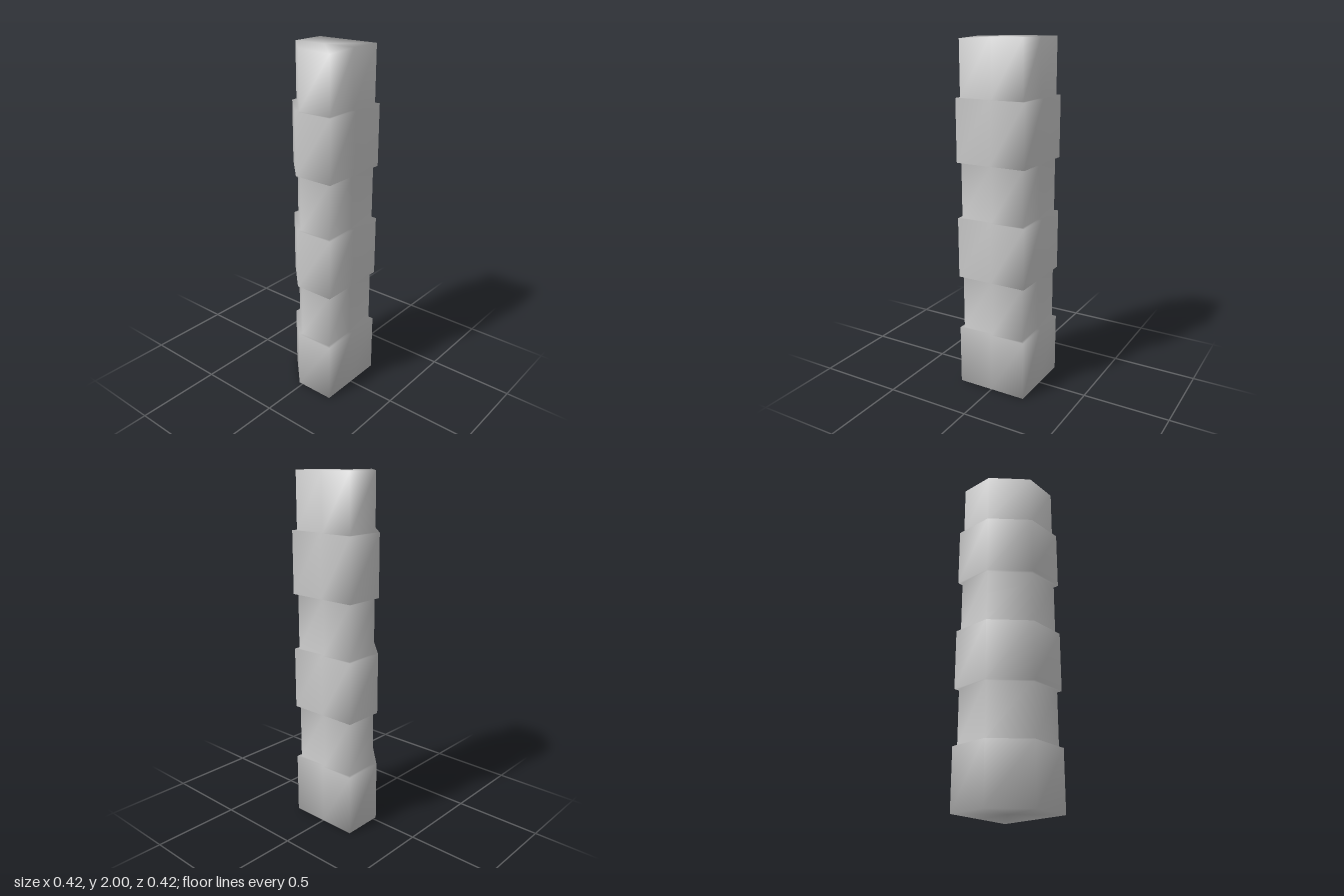
import * as THREE from 'three';

// Square outline with edge midpoints and the back corner on the -x side cut off.
// r: half width, cut: where the slanted side meets the straight ones.
function outline(r, cut) {
  return [[-r, r], [0, r], [r, r], [r, 0], [r, -r], [cut, -r], [-r, cut]];
}

export function createModel() {
  const group = new THREE.Group();
  const wide = outline(0.209, -0.024);
  const narrow = outline(0.191, -0.01);

  // Bands from the ground up, wide and narrow in turn
  const levels = [0, 0.35, 0.67, 1.02, 1.335, 1.685, 2];
  const rings = [];
  for (let i = 0; i < 6; i++) {
    const section = i % 2 ? narrow : wide;
    rings.push([levels[i], section], [levels[i + 1], section]);
  }

  // Shared vertices, so shading flows softly around and over the ledges
  const n = wide.length;
  const positions = [];
  const index = [];
  for (const [y, section] of rings) {
    for (const [x, z] of section) positions.push(x, y, z);
  }
  for (let r = 0; r < rings.length - 1; r++) {
    for (let i = 0; i < n; i++) {
      const a = r * n + i;
      const b = r * n + (i + 1) % n;
      index.push(a, b, b + n, a, b + n, a + n);
    }
  }

  // End caps, each a fan around a centre point
  const top = (rings.length - 1) * n;
  const bottomCentre = rings.length * n;
  positions.push(0, 0, 0, 0, 2, 0);
  for (let i = 0; i < n; i++) {
    const j = (i + 1) % n;
    index.push(bottomCentre, j, i, bottomCentre + 1, top + i, top + j);
  }
  positions[top * 3 + 1] = 1.99; // slightly worn top corner

  const geometry = new THREE.BufferGeometry();
  geometry.setAttribute('position', new THREE.Float32BufferAttribute(positions, 3));
  geometry.setIndex(index);
  geometry.computeVertexNormals();

  const pillar = new THREE.Mesh(geometry, new THREE.MeshStandardMaterial({ color: 0xcccccc }));
  pillar.name = 'bandedPillar';
  group.add(pillar);
  return group;
}
